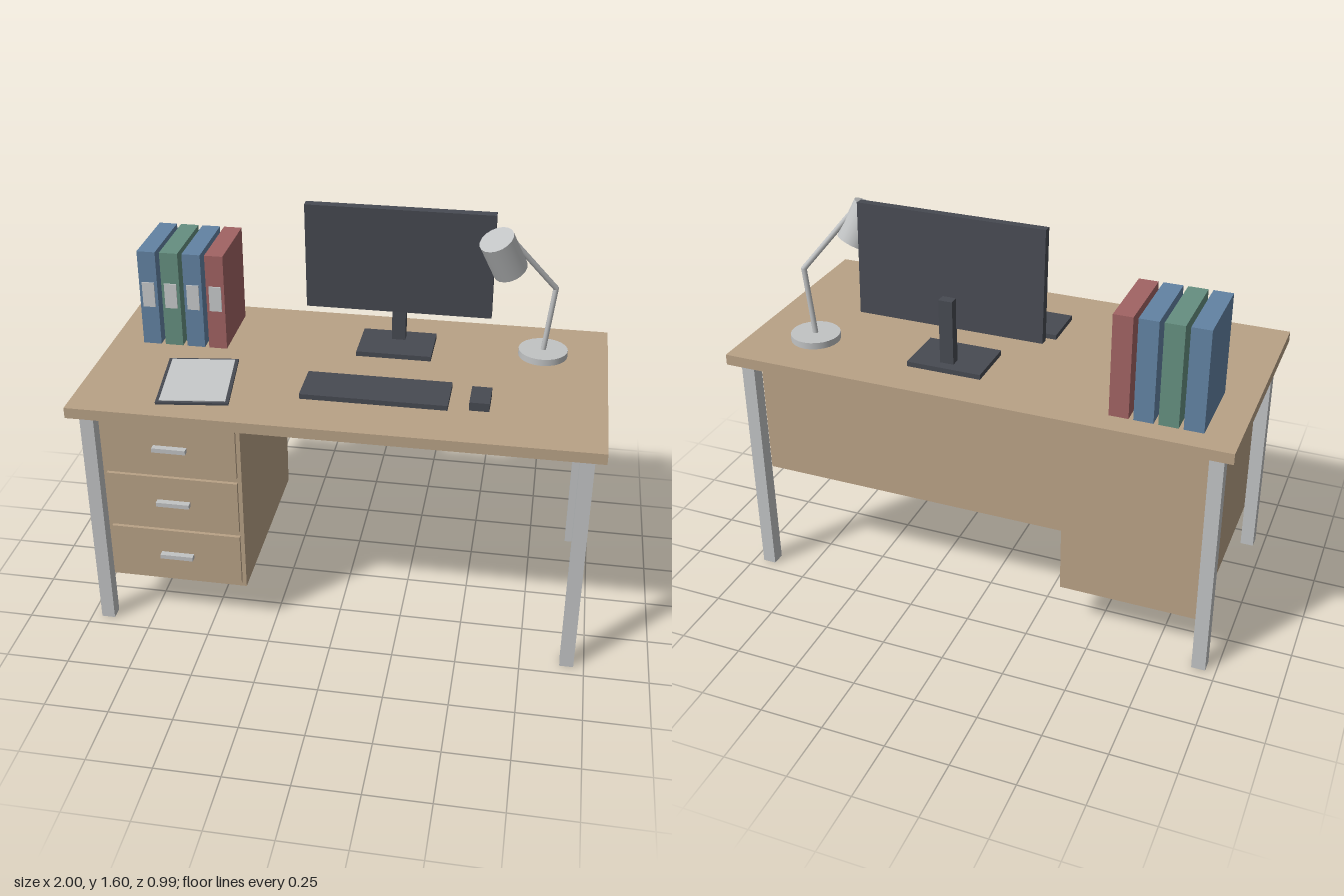
import * as THREE from 'three';

const mat = (name, color) => {
  const m = new THREE.MeshStandardMaterial({ color });
  m.name = name;
  return m;
};

export function createModel() {
  const root = new THREE.Group();
  root.name = 'desk';
  const wood = mat('wood', 0xb9a286);
  const metal = mat('light metal', 0xc1c3c4);
  const dark = mat('dark plastic', 0x474a52);
  const paper = mat('paper', 0xc8cacb);
  const blue = mat('blue binder', 0x6283a3);
  const green = mat('green binder', 0x658f80);
  const red = mat('red binder', 0xa16363);

  const add = (name, geo, material, parent = root) => {
    const mesh = new THREE.Mesh(geo, material);
    mesh.name = name;
    parent.add(mesh);
    return mesh;
  };
  // Box given by its limits on each axis
  const box = (name, material, [x0, x1], [y0, y1], [z0, z1], parent = root) => {
    const mesh = add(name, new THREE.BoxGeometry(x1 - x0, y1 - y0, z1 - z0), material, parent);
    mesh.position.set((x0 + x1) / 2, (y0 + y1) / 2, (z0 + z1) / 2);
    return mesh;
  };
  // Cylinder between two points
  const rod = (name, a, b, r, sides, material, parent) => {
    const p = new THREE.Vector3(...a), q = new THREE.Vector3(...b);
    const mesh = add(name, new THREE.CylinderGeometry(r, r, p.distanceTo(q), sides), material, parent);
    mesh.position.copy(p).add(q).multiplyScalar(0.5);
    mesh.quaternion.setFromUnitVectors(new THREE.Vector3(0, 1, 0), q.sub(p).normalize());
    return mesh;
  };

  // Table top, frame and legs
  box('tableTop', wood, [-1, 1], [0.957, 1], [-0.495, 0.495]);
  box('topFrame', metal, [-0.93, 0.93], [0.93, 0.957], [-0.4, 0.4]);
  for (const x of [-0.933, 0.933])
    for (const z of [-0.428, 0.428])
      box('leg', metal, [x - 0.027, x + 0.027], [0, 0.957], [z - 0.027, z + 0.027]);
  box('backPanel', wood, [-0.905, 0.905], [0.455, 0.945], [-0.401, -0.388]);

  // Drawer cabinet
  const cabinet = new THREE.Group();
  cabinet.name = 'drawerCabinet';
  root.add(cabinet);
  box('cabinetBody', wood, [-0.906, -0.354], [0.19, 0.945], [-0.403, 0.403], cabinet);
  for (const y of [0.322, 0.569, 0.815]) {
    box('drawerFront', wood, [-0.89, -0.37], [y - 0.111, y + 0.111], [0.4, 0.417], cabinet);
    box('drawerHandle', metal, [-0.692, -0.56], [y - 0.009, y + 0.009], [0.415, 0.442], cabinet);
  }

  // Monitor with a slight tilt
  const monitor = new THREE.Group();
  monitor.name = 'monitor';
  root.add(monitor);
  box('monitorBase', dark, [0.005, 0.305], [1, 1.02], [-0.325, -0.11], monitor);
  box('monitorNeck', dark, [0.13, 0.185], [1.02, 1.28], [-0.285, -0.245], monitor);
  const screen = box('screen', dark, [-0.215, 0.53], [1.156, 1.596], [-0.241, -0.206], monitor);
  screen.rotation.x = 0.05;

  // Keyboard, mouse and note pad
  box('keyboard', dark, [-0.15, 0.412], [1, 1.02], [0.088, 0.278]);
  box('mouse', dark, [0.49, 0.566], [1, 1.034], [0.132, 0.262]);
  const pad = new THREE.Group();
  pad.name = 'notePad';
  pad.position.set(-0.56, 1, 0.212);
  pad.rotation.y = 0.135;
  root.add(pad);
  box('padBoard', dark, [-0.138, 0.138], [0, 0.009], [-0.183, 0.183], pad);
  box('padSheet', paper, [-0.125, 0.125], [0.009, 0.012], [-0.17, 0.17], pad);

  // Row of binders with spine labels
  [blue, green, blue, red].forEach((material, i) => {
    const x = -0.833 + i * 0.0915;
    box('binder', material, [x - 0.037, x + 0.037], [1, 1.4], [-0.4, -0.085]);
    box('binderLabel', paper, [x - 0.025, x + 0.025], [1.165, 1.27], [-0.086, -0.08]);
  });

  // Desk lamp
  const lamp = new THREE.Group();
  lamp.name = 'deskLamp';
  root.add(lamp);
  const elbow = [0.773, 1.295, -0.24];
  rod('lampBase', [0.742, 1, -0.243], [0.742, 1.027, -0.243], 0.098, 24, metal, lamp);
  rod('lampLowerArm', [0.742, 1.02, -0.243], elbow, 0.011, 10, metal, lamp);
  rod('lampUpperArm', elbow, [0.605, 1.51, -0.15], 0.011, 10, metal, lamp);
  add('lampElbow', new THREE.SphereGeometry(0.011, 10, 8), metal, lamp).position.set(...elbow);
  rod('lampHead', [0.595, 1.397, -0.153], [0.538, 1.535, -0.105], 0.069, 18, metal, lamp);

  return root;
}
